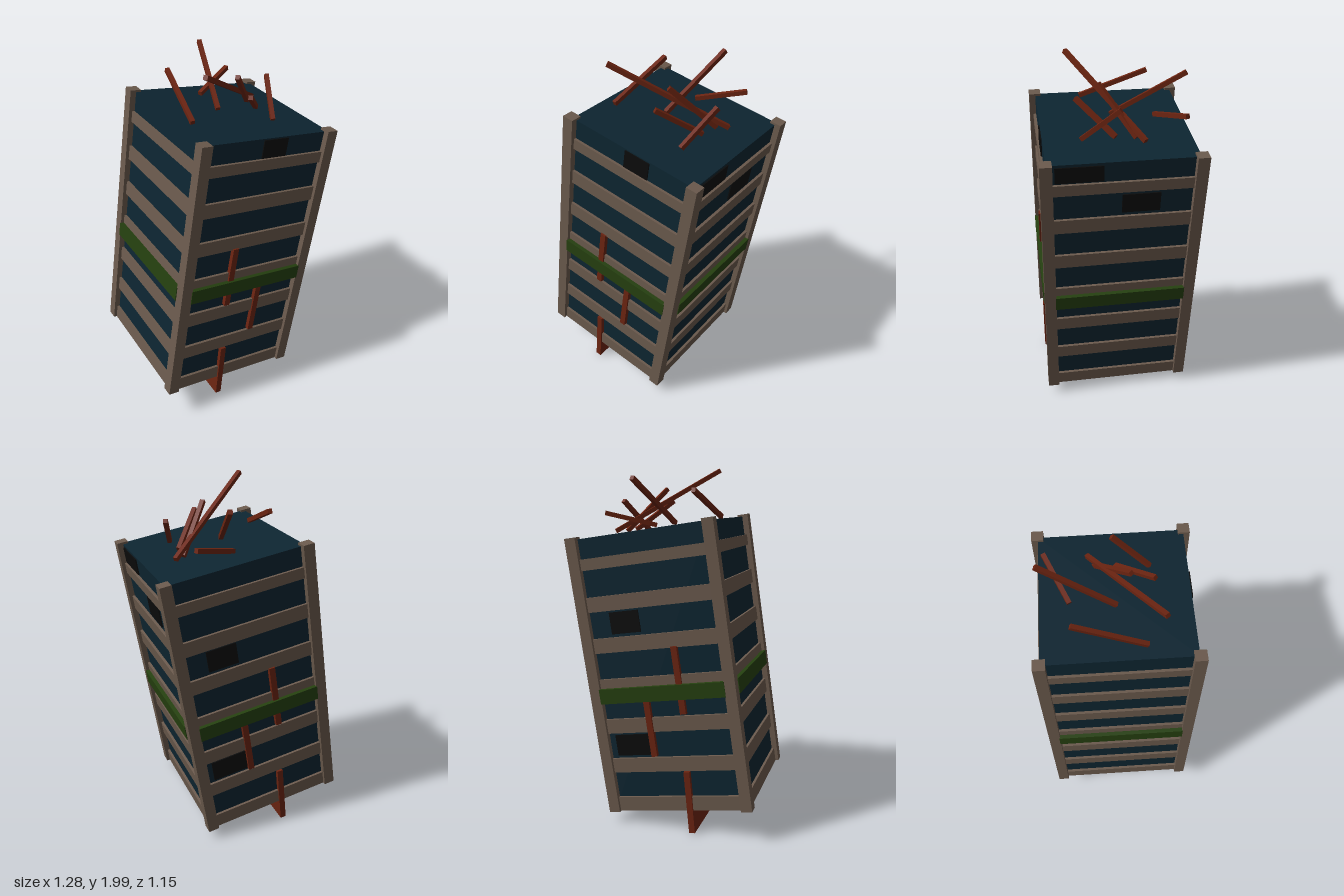
import * as THREE from 'three';

const mat = (name, color) => {
  const m = new THREE.MeshStandardMaterial({ color });
  m.name = name;
  return m;
};

export function createModel() {
  const concrete = mat('concrete', 0x6b5a4d);
  const glass = mat('dark glass', 0x0d2531);
  const moss = mat('moss green', 0x25400f);
  const rust = mat('rust', 0x6c2411);
  const black = mat('broken window black', 0x0b0b0b);

  const model = new THREE.Group();
  model.name = 'ruinedTower';

  // The tower leans and is turned; its own origin is the centre of its foot
  const tower = new THREE.Group();
  tower.name = 'leaningTower';
  tower.position.set(-0.109, 0.127, 0.04);
  tower.rotation.set(0, 0.35, -0.15);
  model.add(tower);

  const box = (name, material, [w, h, d], [x, y, z], parent = tower) => {
    const m = new THREE.Mesh(new THREE.BoxGeometry(w, h, d), material);
    m.name = name;
    m.position.set(x, y, z);
    parent.add(m);
    return m;
  };

  const H = 1.565, S = 0.3875;

  // Glass core
  box('glassCore', glass, [0.77, H - 0.03, 0.77], [0, H / 2 + 0.003, 0]);

  // Corner columns
  for (const x of [-S, S]) for (const z of [-S, S])
    box('cornerColumn', concrete, [0.0625, H, 0.0625], [x, H / 2, z]);

  // Floor slabs, the uppermost one thinner
  for (let i = 0; i < 7; i++) {
    const t = i === 6 ? 0.062 : 0.082;
    box('floorSlab', concrete, [0.8, t, 0.8], [0, 0.23 * i + t / 2 + 0.001, 0]);
  }

  // Overgrown ledge on each of the four sides
  for (const s of [-1, 1]) {
    box('mossLedge', moss, [0.72, 0.083, 0.04], [0, 0.68, s * 0.403]);
    box('mossLedge', moss, [0.04, 0.083, 0.72], [s * 0.403, 0.68, 0]);
  }

  // Rusty plates running through the tower from front to back
  box('rustPlate', rust, [0.034, 0.374, 0.82], [-0.107, 0.741, 0]);
  box('rustPlate', rust, [0.034, 0.32, 0.82], [0.096, 0.482, 0]);
  box('rustPlate', rust, [0.034, 0.355, 0.82], [-0.067, 0.05, 0]).rotation.z = 0.054;

  // Broken windows
  const T = 0.008, F = 0.388;
  box('brokenWindowFront', black, [0.15, 0.1, T], [0.043, 1.496, F]);
  box('brokenWindowSide', black, [T, 0.088, 0.243], [F, 1.495, 0.223]);
  box('brokenWindowSide', black, [T, 0.108, 0.198], [F, 1.307, -0.092]);
  box('brokenWindowBack', black, [0.17, 0.12, T], [0.155, 1.08, -F]);
  box('brokenWindowBack', black, [0.234, 0.12, T], [0.203, 0.388, -F]);

  // Bent bars sticking out of the roof: upper end, lower end
  const bars = [
    [-0.205, 1.87, -0.165, -0.13, 1.725, 0.2],
    [0.012, 1.93, -0.405, 0.042, 1.69, -0.01],
    [0.178, 1.75, -0.437, -0.015, 1.685, -0.24],
    [-0.075, 1.985, 0.262, 0.285, 1.645, -0.243],
    [0.135, 1.88, 0.035, 0.245, 1.645, -0.19],
    [0.18, 1.81, 0.145, 0.27, 1.65, -0.085],
    [0.333, 1.815, -0.125, 0.322, 1.645, 0.083],
  ];
  for (const [ax, ay, az, bx, by, bz] of bars) {
    const a = new THREE.Vector3(ax, ay, az), b = new THREE.Vector3(bx, by, bz);
    const c = a.clone().add(b).multiplyScalar(0.5);
    box('roofBar', rust, [0.024, 0.024, a.distanceTo(b)], c.toArray(), model).lookAt(a);
  }
  return model;
}
